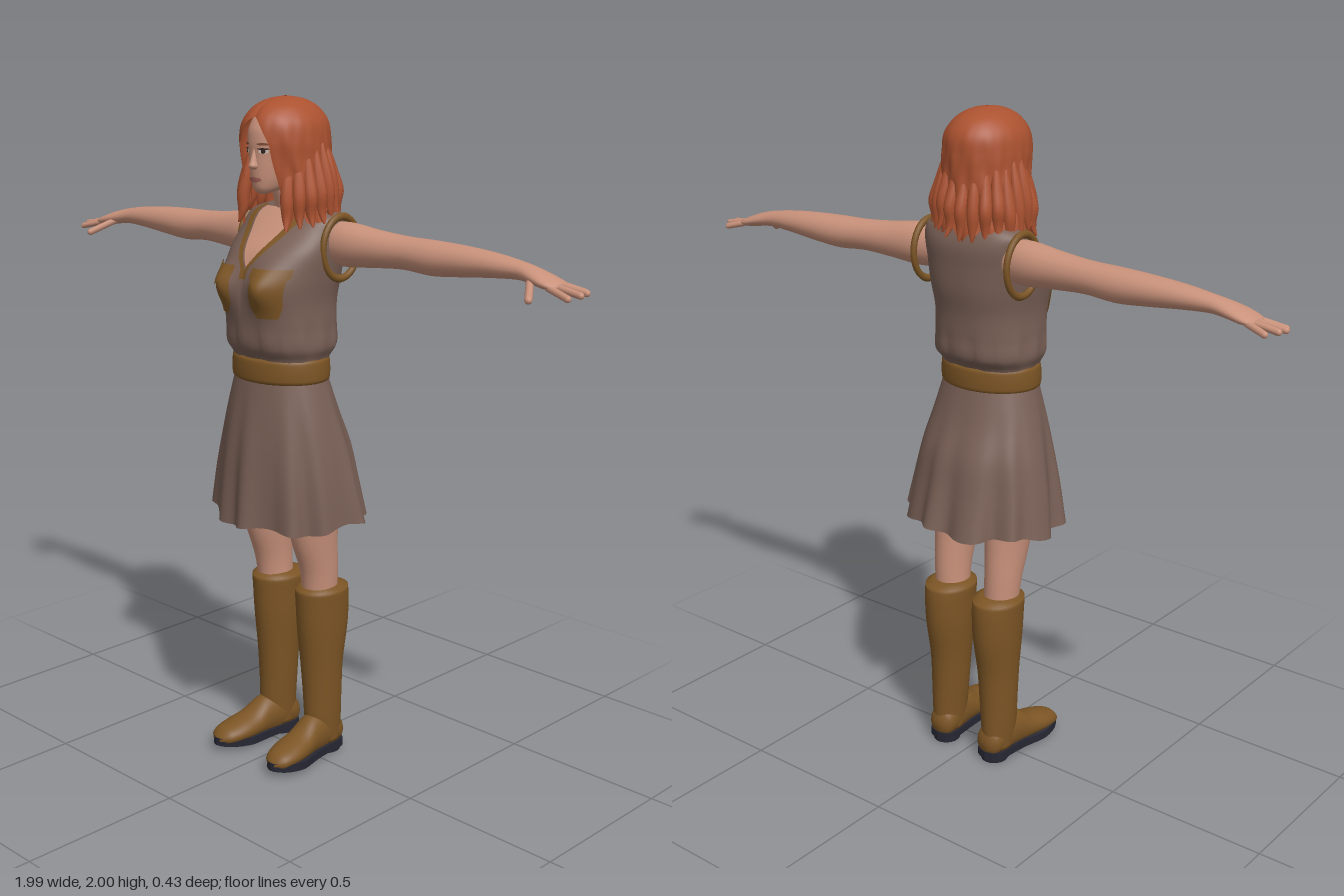
import * as THREE from 'three';

const mat = (name, color, side = THREE.FrontSide) => {
  const m = new THREE.MeshStandardMaterial({ color, side });
  m.name = name;
  return m;
};

// Smoothly interpolates the rows [t, a, b, ra, rb] at t
function sample(rows, t) {
  const last = rows.length - 1;
  let i = 0;
  while (i < last - 1 && t > rows[i + 1][0]) i++;
  const p = rows[i], q = rows[i + 1], h = q[0] - p[0];
  const s = Math.min(1, Math.max(0, (t - p[0]) / h));
  const slope = (k, c) => {
    const lo = rows[Math.max(0, k - 1)], hi = rows[Math.min(last, k + 1)];
    return (hi[c] - lo[c]) / (hi[0] - lo[0]) * h;
  };
  const s2 = s * s, s3 = s2 * s;
  return [1, 2, 3, 4].map(c => (2 * s3 - 3 * s2 + 1) * p[c] + (s3 - 2 * s2 + s) * slope(i, c)
    + (3 * s2 - 2 * s3) * q[c] + (s3 - s2) * slope(i + 1, c));
}

// A surface of oval sections; axis says which way the sections are stacked
function makeSurface(rows, { axis = 'y', e = 1, deform } = {}) {
  const f = v => Math.sign(v) * Math.abs(v) ** e;
  const surf = (t, ang, grow = 0) => {
    const [a, b, ra, rb] = sample(rows, t);
    const u = a + (Math.max(ra, 0.001) + grow) * f(Math.sin(ang));
    const v = b + (Math.max(rb, 0.001) + grow) * f(Math.cos(ang));
    const p = axis === 'y' ? new THREE.Vector3(u, t, v)
      : axis === 'x' ? new THREE.Vector3(t, v, u) : new THREE.Vector3(v, u, t);
    if (deform) deform(p, ang, t);
    return p;
  };
  surf.t0 = rows[0][0];
  surf.t1 = rows[rows.length - 1][0];
  return surf;
}

// Meshes a whole surface (closed ring), or a patch of it between angles a0(t) and a1(t)
function skin(surf, { t0 = surf.t0, t1 = surf.t1, a0, a1, n = 32, m = 24, grow = 0, cap = !a0 } = {}) {
  const pos = [], idx = [], ring = !a0, w = ring ? n : n + 1;
  for (let i = 0; i <= m; i++) {
    const t = t0 + (t1 - t0) * i / m;
    const lo = ring ? 0 : a0(t), hi = ring ? Math.PI * 2 : a1(t);
    for (let j = 0; j < w; j++) pos.push(...surf(t, lo + (hi - lo) * j / n, grow).toArray());
  }
  for (let i = 0; i < m; i++) for (let j = 0; j < n; j++) {
    const a = i * w + j, b = i * w + (j + 1) % w;
    idx.push(a, b, b + w, a, b + w, a + w);
  }
  if (cap) for (const end of [0, m]) {
    const c = new THREE.Vector3(), at = pos.length / 3;
    for (let j = 0; j < n; j++) c.add(new THREE.Vector3().fromArray(pos, (end * w + j) * 3));
    pos.push(...c.divideScalar(n).toArray());
    for (let j = 0; j < n; j++) {
      const p = end * w + j, q = end * w + (j + 1) % n;
      end ? idx.push(p, q, at) : idx.push(q, p, at);
    }
  }
  const g = new THREE.BufferGeometry();
  g.setAttribute('position', new THREE.Float32BufferAttribute(pos, 3));
  g.setIndex(idx);
  g.computeVertexNormals();
  return g;
}

// Oval patch lying on a surface
const spot = (surf, tc, ac, h, w, grow) => {
  const half = t => w * Math.sqrt(Math.max(0, 1 - ((t - tc) / h) ** 2));
  return skin(surf, { t0: tc - h, t1: tc + h, a0: t => ac - half(t), a1: t => ac + half(t), n: 8, m: 10, grow });
};

function mirrorX(src) {
  const g = src.clone().toNonIndexed().scale(-1, 1, 1);
  for (const key of ['position', 'normal']) {
    const a = g.attributes[key].array;
    for (let i = 0; i < a.length; i += 9) for (let k = 0; k < 3; k++)
      [a[i + 3 + k], a[i + 6 + k]] = [a[i + 6 + k], a[i + 3 + k]];
  }
  const n = g.attributes.normal.array, m = src.toNonIndexed().attributes.normal.array;
  for (let i = 0; i < n.length; i += 9) for (let v = 0; v < 3; v++) {
    const from = i + [0, 6, 3][v];
    n[i + v * 3] = -m[from]; n[i + v * 3 + 1] = m[from + 1]; n[i + v * 3 + 2] = m[from + 2];
  }
  return g;
}

function capsule(a, b, r) {
  const p = new THREE.Vector3(...a), d = new THREE.Vector3(...b).sub(p);
  const q = new THREE.Quaternion().setFromUnitVectors(new THREE.Vector3(0, 1, 0), d.clone().normalize());
  return new THREE.CapsuleGeometry(r, d.length(), 4, 10).applyQuaternion(q)
    .translate(p.x + d.x / 2, p.y + d.y / 2, p.z + d.z / 2);
}

export function createModel() {
  const root = new THREE.Group();
  const M = {
    skin: mat('skin', 0xc8917a), hair: mat('hair red', 0xab5230, THREE.DoubleSide),
    dress: mat('dress brown', 0x785f55, THREE.DoubleSide), tan: mat('leather tan', 0x7c5525, THREE.DoubleSide),
    sole: mat('sole dark', 0x262733), white: mat('eye white', 0xcfc4bc),
    dark: mat('eye dark', 0x33241f), lips: mat('lips', 0xa5645a), brow: mat('brow', 0x7a4a36),
  };
  const add = (name, g, m) => {
    const mesh = new THREE.Mesh(g, m);
    mesh.name = name;
    root.add(mesh);
  };
  const pair = (name, g, m) => { add(name + 'Left', g, m); add(name + 'Right', mirrorX(g), m); };

  // Sleeveless top with bust and soft gathers above the belt
  const torso = makeSurface([[1.2, 0, .038, .145, .112], [1.265, 0, .036, .15, .117], [1.3, 0, .033, .164, .142],
    [1.36, 0, .035, .16, .148], [1.43, 0, .035, .157, .152], [1.5, 0, .025, .165, .153], [1.57, 0, .01, .172, .14],
    [1.63, 0, -.018, .17, .112], [1.67, 0, -.03, .16, .085], [1.69, 0, -.033, .115, .068], [1.705, 0, -.035, .05, .05]], {
    e: .88,
    deform(p, ang, t) {
      if (p.z > .04) p.z += .042 * Math.exp(-(((Math.abs(p.x) - .08) / .05) ** 2) - ((t - 1.48) / .06) ** 2);
      const k = .004 * Math.exp(-(((t - 1.32) / .05) ** 2));
      p.x += k * Math.sin(ang * 13); p.z += k * Math.cos(ang * 15);
    },
  });
  add('top', skin(torso, { n: 64, m: 60 }), M.dress);

  // Open neckline, collar, button strip, pockets
  const vee = t => Math.max(0, (t - 1.53) / .17 * .5);
  add('chestSkin', skin(torso, { t0: 1.53, t1: 1.69, a0: t => -vee(t), a1: vee, n: 12, m: 16, grow: .004 }), M.skin);
  pair('collar', skin(torso, { t0: 1.5, t1: 1.695, a0: vee, a1: t => vee(t) + .05 + Math.max(0, t - 1.52) * .8,
    n: 6, m: 16, grow: .009 }), M.tan);
  add('buttonStrip', skin(torso, { t0: 1.27, t1: 1.53, a0: () => -.06, a1: () => .06, n: 4, m: 24, grow: .005 }), M.dress);
  pair('pocket', skin(torso, { t0: 1.395, t1: 1.525, a0: t => .2 + .12 * Math.max(0, 1.43 - t) / .035,
    a1: t => .85 - .12 * Math.max(0, 1.43 - t) / .035, n: 16, m: 14, grow: .004 }), M.tan);
  pair('pocketFlap', skin(torso, { t0: 1.475, t1: 1.535, a0: t => .5 - .34 * Math.min(1, (t - 1.475) / .035),
    a1: t => .52 + .38 * Math.min(1, (t - 1.475) / .035), n: 16, m: 10, grow: .009 }), M.tan);
  pair('armholeTrim', new THREE.TorusGeometry(1, .13, 8, 32).scale(.073, .088, .07).rotateY(Math.PI / 2)
    .translate(.168, 1.583, -.036), M.tan);

  // Belt
  const belt = makeSurface([[1.195, 0, .037, .15, .118], [1.203, 0, .037, .158, .125],
    [1.262, 0, .037, .156, .124], [1.27, 0, .037, .148, .116]]);
  add('belt', skin(belt, { n: 48, m: 12 }), M.tan);

  // Flared skirt with folds deepening to an uneven hem
  const skirt = makeSurface([[.775, 0, 0, .243, .203], [.9, 0, .01, .226, .185], [1, 0, .016, .207, .17],
    [1.1, 0, .028, .182, .144], [1.22, 0, .037, .147, .116]], {
    deform(p, ang, t) {
      const k = Math.min(1, (1.22 - t) / .45) ** 1.4;
      const w = 1 + k * (.055 * Math.sin(11 * ang + .6) + .025 * Math.sin(7 * ang + 2) + .02 * Math.cos(17 * ang));
      p.x *= w; p.z *= w;
      p.y += k * (.008 * Math.sin(5 * ang) - .008 * Math.cos(ang));
    },
  });
  add('skirt', skin(skirt, { n: 132, m: 30, cap: false }), M.dress);

  // Legs
  pair('leg', skin(makeSurface([[.48, .093, -.035, .05, .055], [.6, .097, -.027, .053, .062], [.7, .097, -.008, .06, .078],
    [.78, .097, .002, .067, .088], [.95, .092, .012, .083, .1], [1.12, .08, .02, .08, .1]])), M.skin);

  // Tall boots with soles and heels
  pair('bootShaft', skin(makeSurface([[.04, .098, -.052, .044, .056], [.12, .098, -.046, .05, .063],
    [.2, .096, -.045, .055, .065], [.3, .094, -.044, .06, .071], [.42, .093, -.047, .069, .086],
    [.5, .093, -.046, .072, .09], [.545, .093, -.043, .073, .088], [.553, .093, -.043, .069, .083],
    [.556, .093, -.04, .054, .06]]), { m: 50 }), M.tan);
  pair('bootFoot', skin(makeSurface([[-.113, .062, .095, .02, .02], [-.1, .065, .095, .045, .04],
    [-.04, .078, .098, .068, .046], [.02, .074, .103, .062, .047], [.07, .061, .108, .044, .052],
    [.13, .053, .114, .034, .054], [.18, .046, .119, .024, .04], [.2, .042, .12, .007, .014]],
    { axis: 'z' }), { m: 36 }), M.tan);
  const outline = new THREE.Shape(new THREE.SplineCurve([[.095, -.114], [.138, -.095], [.145, -.03], [.153, .03],
    [.17, .11], [.158, .175], [.12, .203], [.08, .175], [.06, .11], [.058, .03], [.055, -.03], [.055, -.095], [.095, -.114]]
    .map(([x, z]) => new THREE.Vector2(x, -z))).getPoints(40));
  const sole = new THREE.ExtrudeGeometry(outline, { depth: .025, bevelEnabled: false }).rotateX(-Math.PI / 2).translate(0, .012, 0);
  const sp = sole.attributes.position;
  for (let i = 0; i < sp.count; i++) sp.setY(i, sp.getY(i) + .012 * Math.max(0, (sp.getZ(i) - .1) / .1));
  sole.computeVertexNormals();
  pair('bootSole', sole, M.sole);
  pair('bootHeel', new THREE.CylinderGeometry(1, .95, .03, 24).scale(.043, 1, .046).translate(.097, .015, -.065), M.sole);

  // Arms, hands and fingers
  pair('arm', skin(makeSurface([[.12, -.038, 1.595, .05, .06], [.2, -.04, 1.594, .058, .063], [.3, -.044, 1.592, .053, .053],
    [.4, -.05, 1.591, .049, .046], [.5, -.053, 1.587, .052, .048], [.6, -.055, 1.589, .048, .042],
    [.7, -.055, 1.59, .04, .033], [.79, -.054, 1.586, .032, .024], [.84, -.05, 1.577, .04, .021],
    [.885, -.048, 1.566, .044, .017], [.915, -.05, 1.56, .037, .01]], { axis: 'x' }), { n: 24, m: 40 }), M.skin);
  [[[.9, 1.56, -.079], [.957, 1.546, -.094]], [[.9, 1.561, -.062], [.98, 1.55, -.066]],
    [[.9, 1.56, -.042], [.984, 1.548, -.034]], [[.895, 1.559, -.02], [.968, 1.542, -.002]],
    [[.835, 1.568, -.025], [.88, 1.533, .04]]].forEach(([a, b], i) =>
    pair(i < 4 ? 'finger' + (i + 1) : 'thumb', capsule(a, b, i < 4 ? .0095 : .0105), M.skin));

  // Neck, head and face
  add('neck', skin(makeSurface([[1.62, 0, -.025, .07, .065], [1.68, 0, -.015, .052, .055], [1.74, 0, .005, .045, .052],
    [1.8, 0, .015, .045, .055]])), M.skin);
  const head = makeSurface([[1.733, 0, .105, .012, .012], [1.742, 0, .09, .03, .04], [1.77, 0, .055, .05, .083],
    [1.8, 0, .037, .06, .104], [1.84, 0, .03, .067, .112], [1.88, 0, .03, .072, .114],
    [1.92, 0, .025, .07, .112], [1.96, 0, .02, .05, .085], [1.98, 0, .02, .02, .03]], { e: .92 });
  add('head', skin(head, { n: 40, m: 40 }), M.skin);
  add('nose', skin(makeSurface([[1.802, 0, .138, .006, .008], [1.81, 0, .139, .014, .02], [1.822, 0, .138, .011, .018],
    [1.845, 0, .137, .007, .011], [1.868, 0, .134, .005, .007]]), { n: 16, m: 16 }), M.skin);
  pair('eye', spot(head, 1.853, .42, .0065, .19, .002), M.white);
  pair('iris', spot(head, 1.853, .42, .0062, .085, .0035), M.dark);
  pair('upperLid', spot(head, 1.86, .42, .0025, .22, .004), M.dark);
  pair('brow', spot(head, 1.873, .42, .0035, .25, .003), M.brow);
  add('lips', spot(head, 1.774, 0, .0075, .4, .004), M.lips);

  // Centre-parted hair shell
  const hair = makeSurface([[1.665, 0, -.005, .15, .122], [1.72, 0, 0, .14, .123], [1.77, 0, .006, .13, .127],
    [1.83, 0, .014, .122, .134], [1.88, 0, .018, .12, .138], [1.93, 0, .018, .11, .132],
    [1.965, 0, .018, .086, .107], [1.985, 0, .018, .06, .074], [1.996, 0, .018, .03, .038], [2, 0, .018, .004, .004]], {
    deform(p, ang, t) {
      const k = Math.max(0, (1.97 - t) / .3), part = Math.min(ang, Math.PI * 2 - ang);
      const w = 1 + .03 * k * Math.sin(12 * ang + t * 25) + .018 * k * Math.sin(23 * ang - t * 30)
        - .05 * Math.exp(-((part / .12) ** 2)) * (t > 1.9 ? 1 : 0);
      p.x *= w; p.z = .015 + (p.z - .015) * w;
      p.y += .018 * k * k * Math.sin(9 * ang) + .012 * k * k * Math.sin(17 * ang);
    },
  });
  const open = t => t > 1.945 ? 0 : t > 1.87 ? .5 * Math.sqrt((1.945 - t) / .075) : .5 + (1.87 - t) * .65;
  add('hair', skin(hair, { a0: open, a1: t => Math.PI * 2 - open(t), n: 110, m: 56 }), M.hair);

  // Loose locks ending in points below the shell
  let seed = 7;
  const rnd = () => (seed = (seed * 16807) % 2147483647) / 2147483647;
  for (let i = 0; i < 20; i++) {
    const a = .68 + (Math.PI * 2 - 1.36) * i / 19, s = Math.sin(a), c = Math.cos(a), y = 1.635 + rnd() * .035;
    const at = (h, r, w) => [h, s * (.135 + r), .003 + c * (.12 + r), w, w];
    add('lock' + (i + 1), skin(makeSurface([at(y, .012 + rnd() * .015, .003), at(y + .035, .006, .014),
      at(y + .08, rnd() * .01, .019), at(y + .14, -.008, .017), at(y + .21, -.022, .006)]), { n: 10, m: 14 }), M.hair);
  }
  return root;
}
